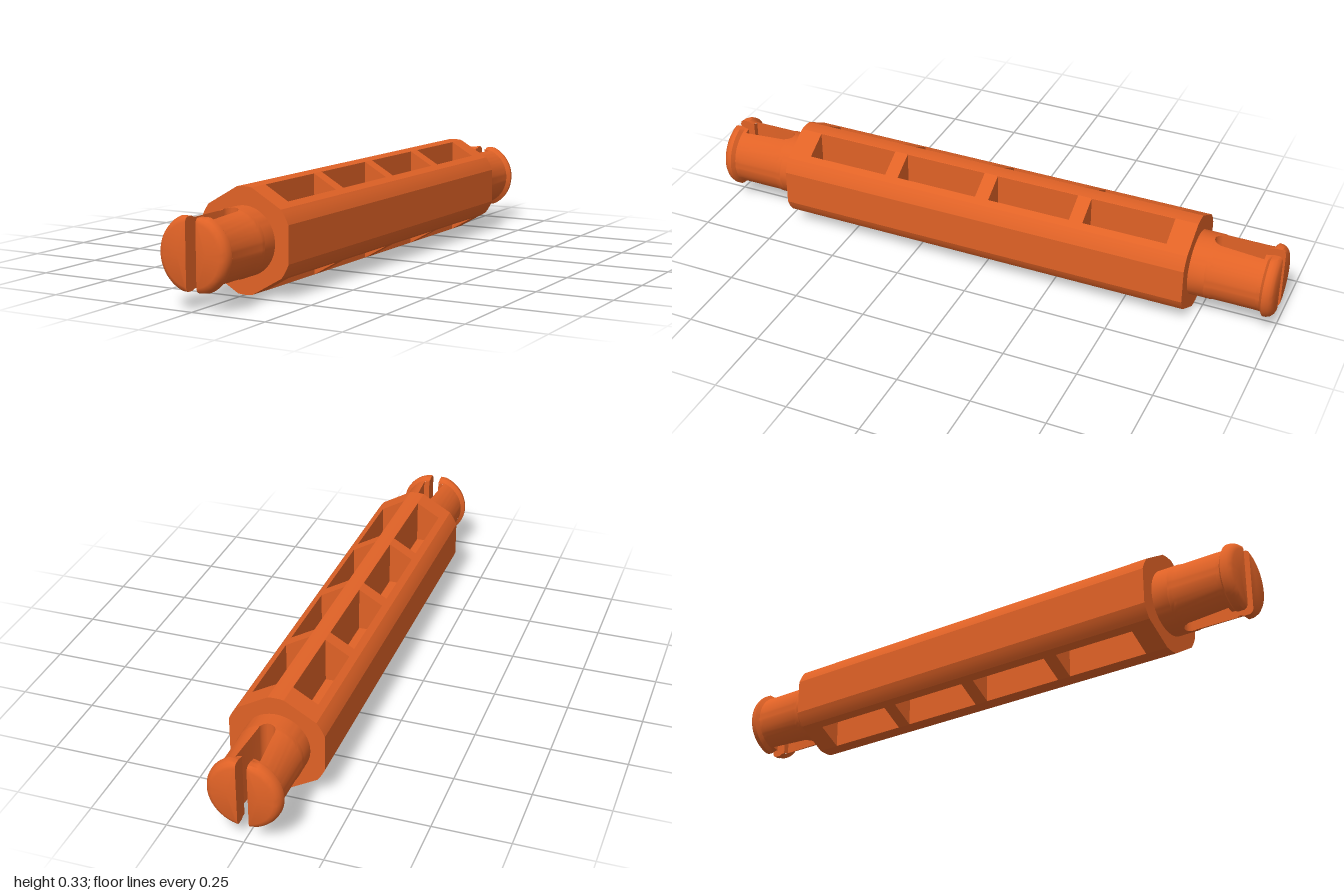
import * as THREE from 'three';
import { mergeGeometries, toCreasedNormals } from 'three/addons/utils/BufferGeometryUtils.js';

const R = 0.166, APOTHEM = 0.155, HALF = 0.72, CENTRE_Y = 0.166;

// Collects triangles and quads (corners counter-clockwise seen from outside)
function surface() {
  const pos = [];
  const tri = (a, b, c) => pos.push(...a, ...b, ...c);
  const quad = (a, b, c, d) => { tri(a, b, c); tri(a, c, d); };
  const geometry = () => new THREE.BufferGeometry()
    .setAttribute('position', new THREE.Float32BufferAttribute(pos, 3));
  return { tri, quad, geometry };
}

// One quarter of the hexagonal body, with pockets in its sloping face
function bodyQuarter() {
  const { tri, quad, geometry } = surface();
  const deg = Math.PI / 180;
  const half = Math.acos(APOTHEM / R) / deg;
  const onCircle = (a) => [R * Math.cos(a * deg), R * Math.sin(a * deg)];
  const strip = (p, q, z0, z1) =>
    quad([...p, z1], [...p, z0], [...q, z0], [...q, z1]);

  // Outline: flat side, rounded corner, slope, half of the top corner
  const outline = [[APOTHEM, 0]];
  for (let i = 0; i <= 4; i++) outline.push(onCircle(half + (60 - 2 * half) * i / 4));
  for (let i = 0; i <= 2; i++) outline.push(onCircle(60 + half + (30 - half) * i / 2));
  for (let i = 0; i < outline.length - 1; i++) {
    const p = outline[i], q = outline[i + 1];
    if (i !== 5) strip(p, q, -HALF, HALF);
    tri([0, 0, HALF], [...p, HALF], [...q, HALF]);
    tri([0, 0, -HALF], [...q, -HALF], [...p, -HALF]);
  }

  // Sloping face as a grid whose middle column alternates rib and pocket
  const low = outline[5], high = outline[6];
  const onSlope = (x) =>
    [x, low[1] + (high[1] - low[1]) * (x - low[0]) / (high[0] - low[0])];
  const inner = 0.027, outer = 0.107, floor = 0.015;
  const cols = [low, onSlope(outer), onSlope(inner), high];
  const rows = [-HALF, -0.643, -0.357, -0.31, -0.024, 0.024, 0.31, 0.357, 0.643, HALF];
  for (let r = 0; r < rows.length - 1; r++) {
    const z0 = rows[r], z1 = rows[r + 1];
    for (let c = 0; c < 3; c++) {
      if (c !== 1 || r % 2 === 0) strip(cols[c], cols[c + 1], z0, z1);
    }
    if (r % 2 === 0) continue;
    // Pocket walls and floor
    const [o, i] = [cols[1], cols[2]], ob = [outer, floor], ib = [inner, floor];
    strip(ib, i, z0, z1);
    strip(o, ob, z0, z1);
    strip(ob, ib, z0, z1);
    quad([...ib, z0], [...ob, z0], [...o, z0], [...i, z0]);
    quad([...ob, z1], [...ib, z1], [...i, z1], [...o, z1]);
  }
  return geometry();
}

// Half of a split end pin: stations of [z, radius, slot half width]
function pinHalf() {
  const { tri, quad, geometry } = surface();
  const stations = [[HALF, 0.108, 0], [0.772, 0.108, 0]];
  for (let i = 1; i <= 5; i++) {
    const a = i / 5 * Math.PI / 2;
    stations.push([0.772 + 0.027 * (1 - Math.cos(a)), i < 5 ? 0.108 : 0.106, 0.027 * Math.sin(a)]);
  }
  stations.push(
    [0.945, 0.106, 0.038], [0.945, 0.106, 0.018], [0.957, 0.107, 0.018],
    [0.967, 0.12, 0.018], [0.977, 0.1195, 0.018], [0.988, 0.115, 0.018],
    [0.996, 0.107, 0.018], [1, 0.097, 0.018]);
  const N = 32, LIMIT = 0.11;
  const rings = stations.map(([z, r, s]) => Array.from({ length: N + 1 }, (_, j) => {
    const a = (2 * j / N - 1) * Math.acos(s / r);
    return [r * Math.cos(a), THREE.MathUtils.clamp(r * Math.sin(a), -LIMIT, LIMIT), z];
  }));
  for (let k = 0; k < rings.length - 1; k++) {
    const a = rings[k], b = rings[k + 1];
    if (stations[k][0] !== stations[k + 1][0]) {
      for (let j = 0; j < N; j++) quad(b[j], a[j], a[j + 1], b[j + 1]);
    }
    // Wall of the slot
    if (k > 0) quad(a[0], b[0], b[N], a[N]);
  }
  // End face
  const end = rings[rings.length - 1], mid = [0.05, 0, 1];
  for (let j = 0; j < N; j++) tri(mid, end[j], end[j + 1]);
  tri(mid, end[N], end[0]);
  return geometry();
}

export function createModel() {
  const group = new THREE.Group();
  group.name = 'splitPinSpacer';
  const material = new THREE.MeshStandardMaterial({ color: 0xe06226 });
  const add = (name, geometry, crease) => {
    const mesh = new THREE.Mesh(toCreasedNormals(geometry, crease), material);
    mesh.name = name;
    mesh.position.y = CENTRE_Y;
    group.add(mesh);
    return mesh;
  };

  const quarter = bodyQuarter();
  add('hexagonalBody', mergeGeometries([
    quarter,
    quarter.clone().rotateX(Math.PI),
    quarter.clone().rotateY(Math.PI),
    quarter.clone().rotateZ(Math.PI),
  ]), 0.2);

  const half = pinHalf();
  const pin = mergeGeometries([half, half.clone().rotateZ(Math.PI)]);
  add('frontPin', pin, 0.6);
  add('backPin', pin.clone().rotateY(Math.PI), 0.6);
  return group;
}
